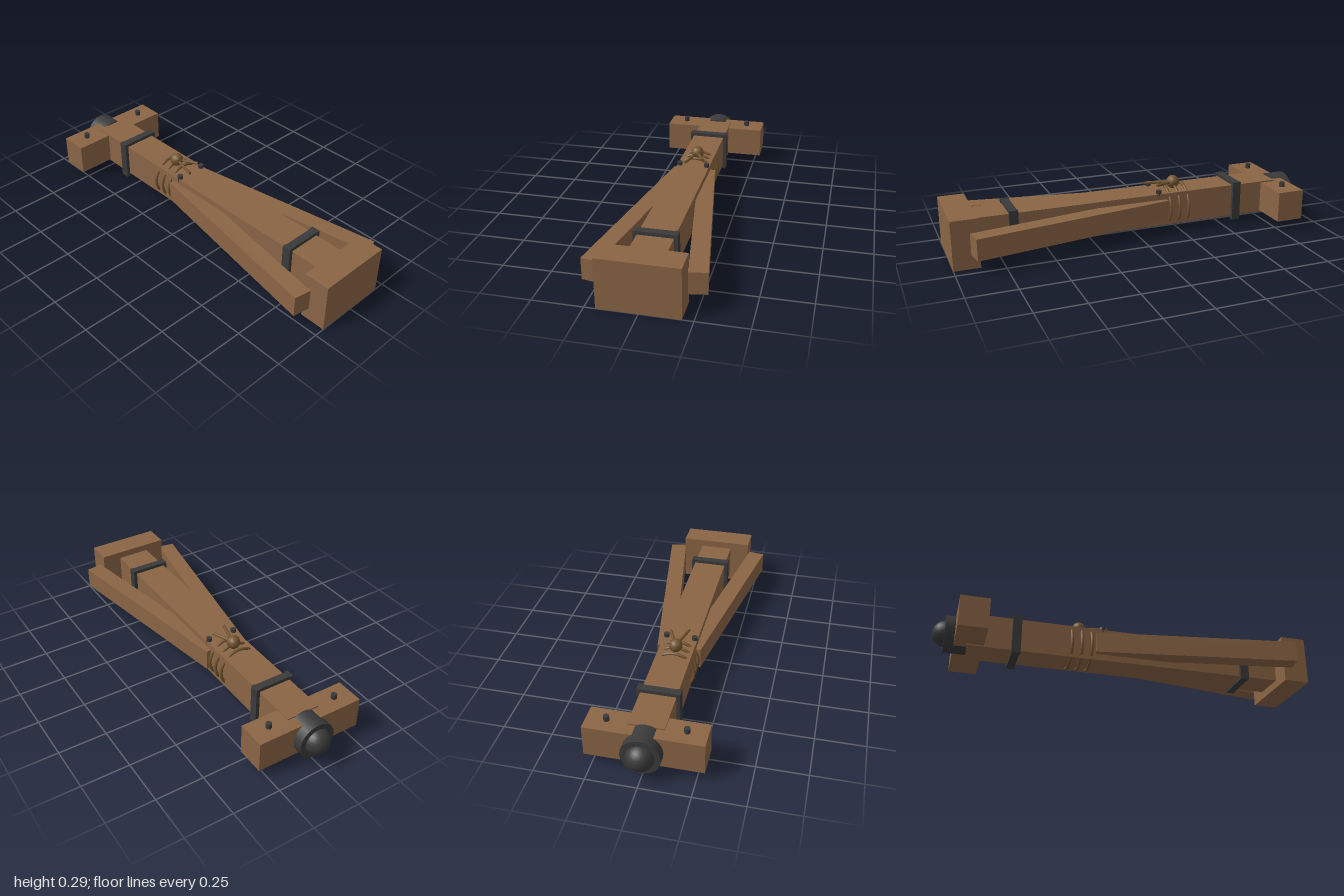
import * as THREE from 'three';

const wood = new THREE.MeshStandardMaterial({ color: 0x8b6545 });
const iron = new THREE.MeshStandardMaterial({ color: 0x3a3a3a });
const rope = new THREE.MeshStandardMaterial({ color: 0x73542f });
const AXIS_Y = 0.13; // height of the beam's centre line

export function createModel() {
  const model = new THREE.Group();
  model.name = 'timberRam';

  const add = (name, geometry, material, x, y, z, parent = model) => {
    const mesh = new THREE.Mesh(geometry, material);
    mesh.name = name;
    mesh.position.set(x, y, z);
    parent.add(mesh);
    return mesh;
  };
  const box = (name, w, h, d, material, x, y, z, parent) =>
    add(name, new THREE.BoxGeometry(w, h, d), material, x, y, z, parent);

  // Timbers
  box('mainBeam', 0.178, 0.178, 1.824, wood, 0, AXIS_Y, 0.087);
  box('frontBlock', 0.394, 0.257, 0.135, wood, 0, 0.1285, 0.9325);
  box('crossBeam', 0.576, 0.164, 0.148, wood, 0, AXIS_Y, -0.815);

  // Braces spreading towards the front, and the bolts on each side
  for (const s of [1, -1]) {
    const side = s > 0 ? 'left' : 'right';
    const brace = box(side + 'Brace', 0.09, 0.112, 1.075, wood, s * 0.159, 0.131, 0.372);
    brace.rotation.y = s * 0.165;
    const bolt = new THREE.CylinderGeometry(0.015, 0.015, 0.04, 8);
    add(side + 'CrossBeamBolt', bolt, iron, s * 0.19, 0.218, -0.815);
    add(side + 'BraceBolt', bolt, iron, s * 0.075, 0.218, -0.125);
  }

  // Iron straps around the main beam
  for (const z of [0.672, -0.58]) {
    const band = new THREE.Group();
    band.name = 'ironBand';
    band.position.set(0, AXIS_Y, z);
    model.add(band);
    for (const s of [1, -1]) {
      box('bandPlate', 0.2, 0.02, 0.04, iron, 0, s * 0.097, 0, band);
      box('bandSide', 0.02, 0.216, 0.046, iron, s * 0.098, 0, 0, band);
    }
  }

  // Iron cap with a domed end
  const cap = add('endCap', new THREE.CylinderGeometry(0.097, 0.097, 0.115, 20), iron, 0, AXIS_Y, -0.881);
  cap.rotation.x = Math.PI / 2;
  add('endDome', new THREE.SphereGeometry(0.068, 20, 14), iron, 0, AXIS_Y, -0.932);

  // Rope lashing, each loop bulging from the four faces
  for (const z of [-0.185, -0.238, -0.291])
    add('ropeLoop', new THREE.TorusGeometry(0.108, 0.008, 8, 24), rope, 0, AXIS_Y, z);

  // Knot with two loose ends
  const knot = new THREE.Vector3(0, 0.252, -0.238);
  add('ropeKnot', new THREE.SphereGeometry(0.036, 10, 8), rope, knot.x, knot.y, knot.z);
  for (const [x, y, z] of [[-0.037, 0.25, -0.09], [0.052, 0.257, -0.125]]) {
    const end = new THREE.Vector3(x, y, z);
    const dir = end.clone().sub(knot);
    const mid = knot.clone().add(end).multiplyScalar(0.5);
    const tail = add('ropeTail', new THREE.CylinderGeometry(0.008, 0.008, dir.length(), 8), rope, mid.x, mid.y, mid.z);
    tail.quaternion.setFromUnitVectors(new THREE.Vector3(0, 1, 0), dir.normalize());
  }

  return model;
}
